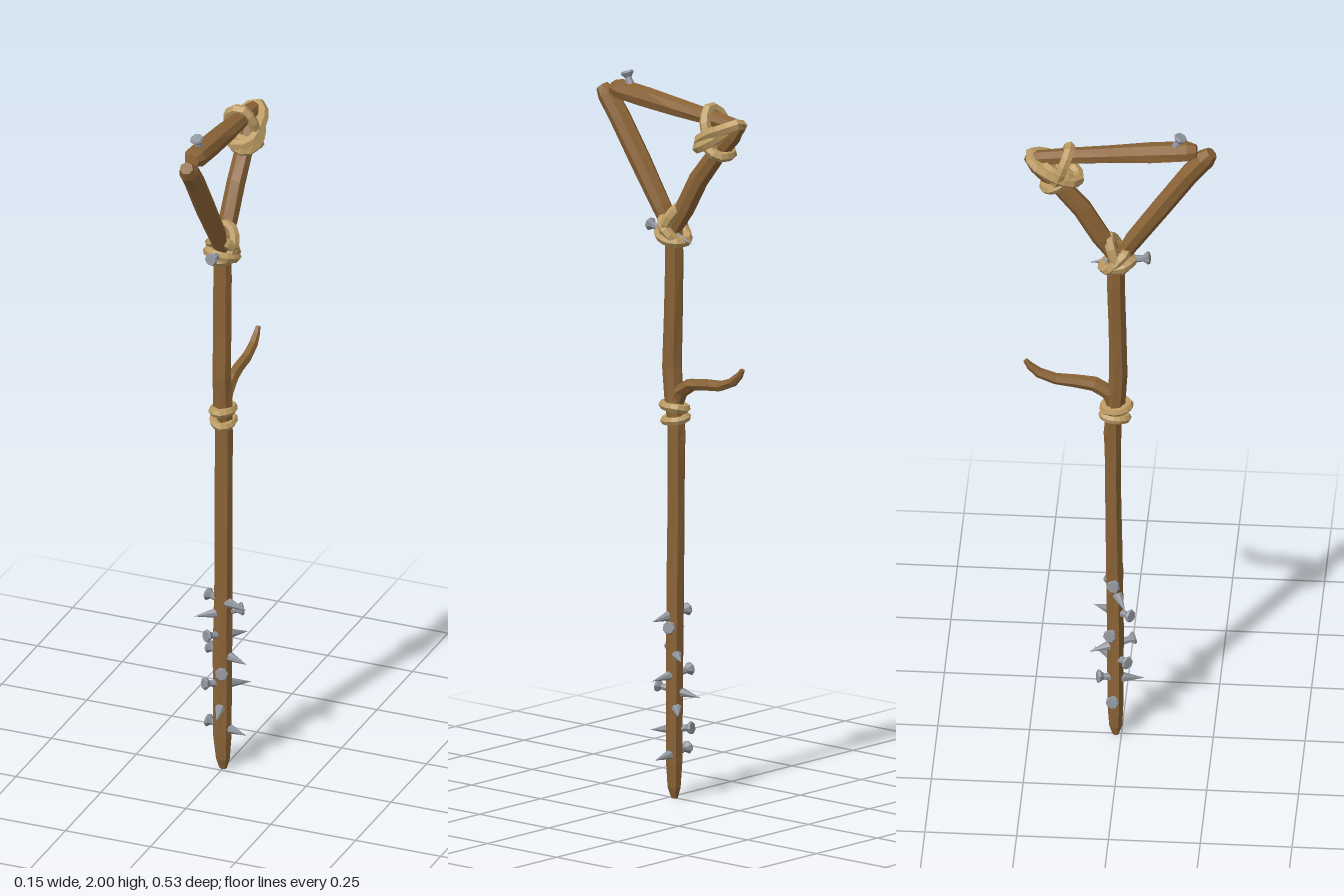
import * as THREE from 'three';

const wood = new THREE.MeshStandardMaterial({ name: 'brownWood', color: 0x8a6336, flatShading: true });
const rope = new THREE.MeshStandardMaterial({ name: 'tanRope', color: 0xbb9b63, flatShading: true });
const metal = new THREE.MeshStandardMaterial({ name: 'greyMetal', color: 0x90949b, flatShading: true });

const X = new THREE.Vector3(1, 0, 0);

function seeded(seed) {
  return () => (seed = (seed * 16807) % 2147483647) / 2147483647;
}

// Rough stick swept through rows of [y, z, radius], all in the x = 0 plane; widthX flattens or widens it
function stick(name, rows, seed, sides = 7, widthX = 1.08) {
  const rand = seeded(seed);
  const centres = rows.map(([y, z]) => new THREE.Vector3(0, y, z));
  const grain = Array.from({ length: sides }, () => 0.94 + rand() * 0.2);
  const pos = [], index = [];
  rows.forEach(([, , r], i) => {
    const t = centres[Math.min(i + 1, rows.length - 1)].clone().sub(centres[Math.max(i - 1, 0)]).normalize();
    const n = t.clone().cross(X);
    for (let j = 0; j < sides; j++) {
      const a = (j / sides) * Math.PI * 2;
      const rr = r * grain[j] * (0.94 + rand() * 0.12);
      const p = centres[i].clone().addScaledVector(X, Math.cos(a) * rr * widthX).addScaledVector(n, Math.sin(a) * rr);
      pos.push(p.x, p.y, p.z);
    }
  });
  for (let i = 0; i < rows.length - 1; i++) {
    for (let j = 0; j < sides; j++) {
      const k = (j + 1) % sides;
      const a = i * sides + j, b = i * sides + k;
      index.push(a, b, b + sides, a, b + sides, a + sides);
    }
  }
  // End caps
  const last = (rows.length - 1) * sides;
  for (let j = 1; j < sides - 1; j++) {
    index.push(0, j + 1, j, last, last + j, last + j + 1);
  }
  const g = new THREE.BufferGeometry();
  g.setAttribute('position', new THREE.Float32BufferAttribute(pos, 3));
  g.setIndex(index);
  g.computeVertexNormals();
  const mesh = new THREE.Mesh(g, wood);
  mesh.name = name;
  return mesh;
}

// Closed rope loop: half width in x, second half axis (dy, dz), and a skew that lifts one side
function ropeLoop(name, [cx, cy, cz], halfX, dy, dz, radius, skew, seed) {
  const rand = seeded(seed);
  const pts = [];
  for (let i = 0; i < 9; i++) {
    const a = (i / 9) * Math.PI * 2;
    const w = 0.93 + rand() * 0.14;
    const c = Math.cos(a) * w, s = Math.sin(a) * w;
    pts.push(new THREE.Vector3(cx + c * halfX, cy + s * dy + c * skew + (rand() - 0.5) * 0.006, cz + s * dz));
  }
  const curve = new THREE.CatmullRomCurve3(pts, true);
  const mesh = new THREE.Mesh(new THREE.TubeGeometry(curve, 14, radius, 6, true), rope);
  mesh.name = name;
  return mesh;
}

// Nail from its flat head to its pointed tip
function nail(name, head, tip) {
  const from = new THREE.Vector3(...head), to = new THREE.Vector3(...tip);
  const len = from.distanceTo(to);
  const profile = [[0, 0], [0.016, 0], [0.019, 0.006], [0.009, 0.018], [0.014, len * 0.55], [0, len]];
  const g = new THREE.LatheGeometry(profile.map(([r, y]) => new THREE.Vector2(r, y)), 7);
  const mesh = new THREE.Mesh(g, metal);
  mesh.name = name;
  mesh.position.copy(from);
  mesh.quaternion.setFromUnitVectors(new THREE.Vector3(0, 1, 0), to.sub(from).normalize());
  return mesh;
}

export function createModel() {
  const model = new THREE.Group();
  model.name = 'spikedStaff';

  // Two overlapping lengths of shaft
  model.add(stick('lowerShaft', [
    [0, -0.016, 0.009], [0.03, -0.016, 0.018], [0.1, -0.016, 0.023], [0.35, -0.017, 0.024],
    [0.6, -0.02, 0.023], [0.85, -0.024, 0.022], [1.02, -0.024, 0.023], [1.13, -0.018, 0.022]], 11));
  model.add(stick('upperShaft', [
    [0.95, -0.036, 0.01], [1.0, -0.028, 0.021], [1.1, -0.013, 0.027], [1.2, -0.006, 0.026],
    [1.35, -0.01, 0.025], [1.5, -0.013, 0.025], [1.62, -0.012, 0.023]], 23));

  // Curling side branch
  model.add(stick('sideBranch', [
    [1.08, -0.015, 0.018], [1.135, -0.035, 0.02], [1.16, -0.075, 0.018], [1.167, -0.125, 0.016],
    [1.172, -0.18, 0.015], [1.19, -0.225, 0.013], [1.212, -0.25, 0.01], [1.23, -0.262, 0.006]], 31, 6));

  // Triangular head
  model.add(stick('frontArm', [
    [1.57, -0.01, 0.018], [1.64, 0.03, 0.026], [1.76, 0.11, 0.028], [1.87, 0.185, 0.028],
    [1.925, 0.228, 0.028], [1.945, 0.246, 0.018]], 47));
  model.add(stick('backArm', [
    [1.57, -0.005, 0.018], [1.65, -0.055, 0.025], [1.74, -0.105, 0.025], [1.82, -0.17, 0.024],
    [1.88, -0.228, 0.023], [1.91, -0.253, 0.015]], 59));
  model.add(stick('topBar', [
    [1.95, 0.205, 0.017], [1.947, 0.18, 0.025], [1.938, 0.08, 0.026], [1.928, -0.03, 0.023],
    [1.917, -0.14, 0.02], [1.907, -0.23, 0.019], [1.903, -0.258, 0.012]], 67, 7, 1.25));

  // Rope lashings: centre, half width, second half axis (dy, dz), thickness, skew
  [
    ['shaftLashing', [0, 1.092, -0.014], 0.026, 0.004, 0.034, 0.013, 0.003],
    ['shaftLashing', [0, 1.058, -0.018], 0.026, -0.005, 0.034, 0.012, -0.002],
    ['neckLashing', [0, 1.568, -0.01], 0.037, 0.012, 0.042, 0.015, -0.004],
    ['neckLashing', [0, 1.598, -0.012], 0.036, 0.048, -0.02, 0.015, 0.006],
    ['neckLashing', [0, 1.585, -0.014], 0.038, 0.034, 0.03, 0.015, 0],
    ['cornerLashing', [0, 1.878, -0.182], 0.041, 0.034, -0.068, 0.017, 0.006],
    ['cornerLashing', [-0.004, 1.888, -0.16], 0.04, 0.058, 0.02, 0.016, -0.004],
    ['cornerLashing', [0.004, 1.862, -0.165], 0.041, 0.03, -0.05, 0.016, -0.01],
    ['cornerLashing', [0, 1.835, -0.176], 0.035, -0.018, -0.034, 0.015, 0],
  ].forEach((a, i) => model.add(ropeLoop(...a, 101 + i * 37)));

  // Nails: head, tip
  [
    [[-0.052, 0.52, -0.02], [0.075, 0.5, 0]],
    [[0.05, 0.485, -0.037], [-0.075, 0.46, 0.015]],
    [[-0.034, 0.415, 0.03], [0.046, 0.395, -0.08]],
    [[-0.052, 0.355, -0.03], [0.075, 0.335, 0]],
    [[0.016, 0.31, 0.037], [-0.025, 0.285, -0.088]],
    [[-0.044, 0.265, 0.022], [0.057, 0.245, -0.078]],
    [[-0.018, 0.2, -0.065], [0.012, 0.18, 0.062]],
    [[-0.052, 0.135, -0.022], [0.072, 0.115, -0.008]],
  ].forEach(([h, t]) => model.add(nail('shaftNail', h, t)));
  model.add(nail('neckNail', [0, 1.588, 0.077], [0.01, 1.558, -0.088]));
  model.add(nail('topNail', [-0.005, 1.998, 0.163], [0, 1.92, 0.13]));

  return model;
}
